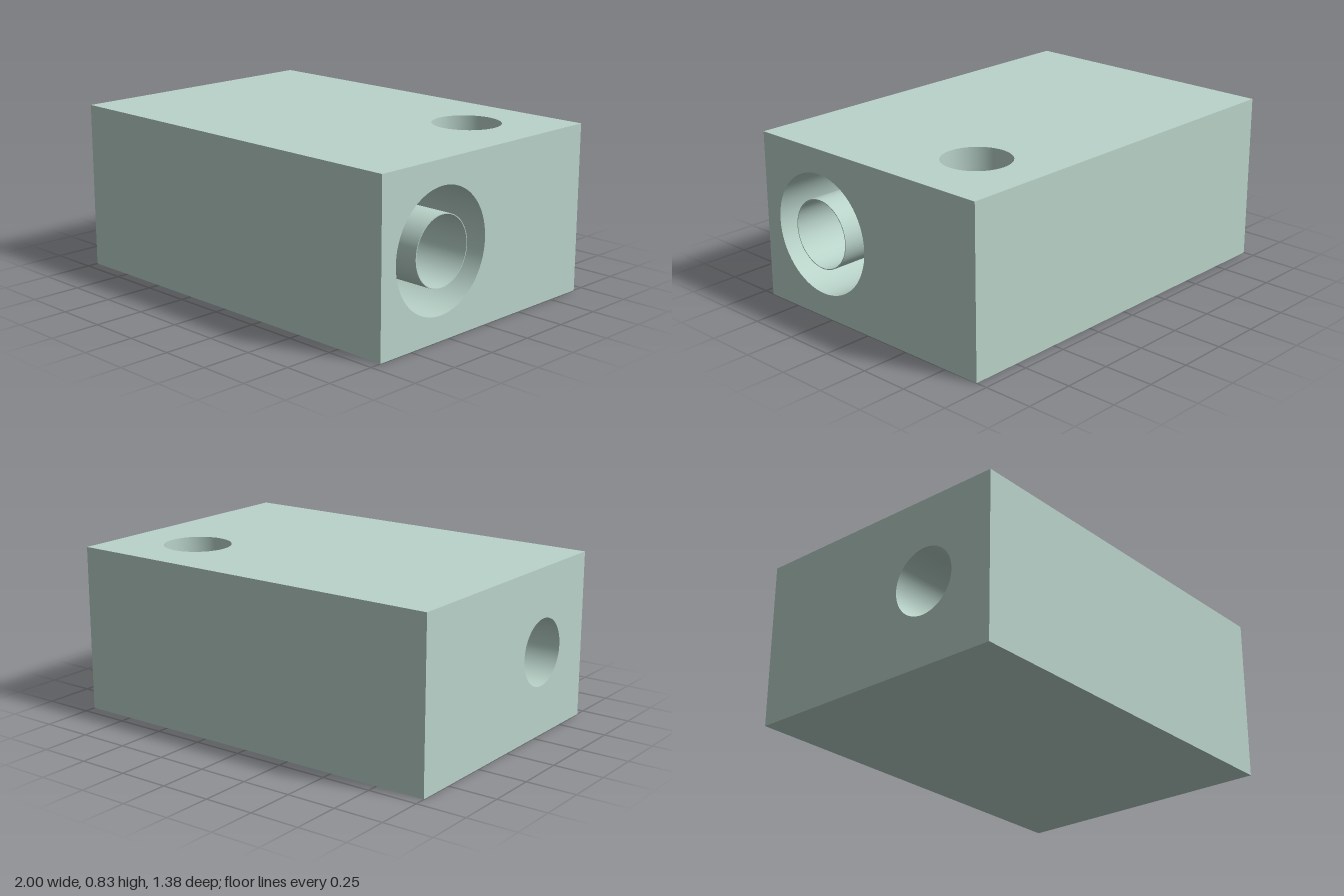
import * as THREE from 'three';
import { toCreasedNormals } from 'three/addons/utils/BufferGeometryUtils.js';

const W = 2, H = 0.835, D = 1.384;
const BORE = { z: 0.305, y: H / 2, r: 0.167 };
const WELL = { x: 0.605, z: -0.32, r: 0.167, floor: 0.06, drift: 0.02 };
const SOCKET_R = 0.297, TUBE_R = 0.171, SOCKET_FLOOR = 0;

export function createModel() {
  const group = new THREE.Group();
  const material = new THREE.MeshStandardMaterial({ color: 0xb9d3c9 });

  const add = (name, geometry) => {
    const mesh = new THREE.Mesh(geometry, material);
    mesh.name = name;
    group.add(mesh);
    return mesh;
  };

  // Flat side of the block, centred on its origin, with an optional round hole
  const panel = (name, w, h, position, rotation, hole) => {
    const shape = new THREE.Shape([
      new THREE.Vector2(-w / 2, -h / 2), new THREE.Vector2(w / 2, -h / 2),
      new THREE.Vector2(w / 2, h / 2), new THREE.Vector2(-w / 2, h / 2),
    ]);
    if (hole) shape.holes.push(new THREE.Path().absarc(hole.x, hole.y, hole.r, 0, Math.PI * 2, true));
    const mesh = add(name, new THREE.ShapeGeometry(shape, 32));
    mesh.position.set(...position);
    mesh.rotation.set(...rotation);
  };

  // Turned surface from [radius, height] pairs, with sharp corners
  const turned = (points) => toCreasedNormals(
    new THREE.LatheGeometry(points.map(([r, y]) => new THREE.Vector2(r, y)), 64), 0.6);

  // Outer sides of the block
  const q = Math.PI / 2;
  panel('frontSide', W, H, [0, H / 2, D / 2], [0, 0, 0]);
  panel('backSide', W, H, [0, H / 2, -D / 2], [0, Math.PI, 0]);
  panel('bottomSide', W, D, [0, 0, 0], [q, 0, 0]);
  panel('topSide', W, D, [0, H, 0], [-q, 0, 0], { x: WELL.x, y: -WELL.z, r: WELL.r });
  panel('leftSide', D, H, [W / 2, H / 2, 0], [0, q, 0], { x: -BORE.z, y: 0, r: SOCKET_R });
  panel('rightSide', D, H, [-W / 2, H / 2, 0], [0, -q, 0], { x: BORE.z, y: 0, r: BORE.r });

  // Ring-shaped socket around a thin tube, whose bore runs through the block
  const socket = add('socketAndBore', turned([
    [SOCKET_R, W / 2], [SOCKET_R, SOCKET_FLOOR],
    [TUBE_R, SOCKET_FLOOR], [TUBE_R, W / 2],
    [BORE.r, W / 2], [BORE.r, -W / 2],
  ]));
  socket.rotation.z = -q;
  socket.position.set(0, BORE.y, BORE.z);

  // Blind well in the top, leaning slightly forward with depth
  const well = turned([[WELL.r, H], [WELL.r, WELL.floor], [0, WELL.floor]]);
  const p = well.attributes.position;
  for (let i = 0; i < p.count; i++) {
    p.setZ(i, p.getZ(i) + WELL.drift * (H - p.getY(i)) / (H - WELL.floor));
  }
  add('topWell', well).position.set(WELL.x, 0, WELL.z);

  return group;
}
